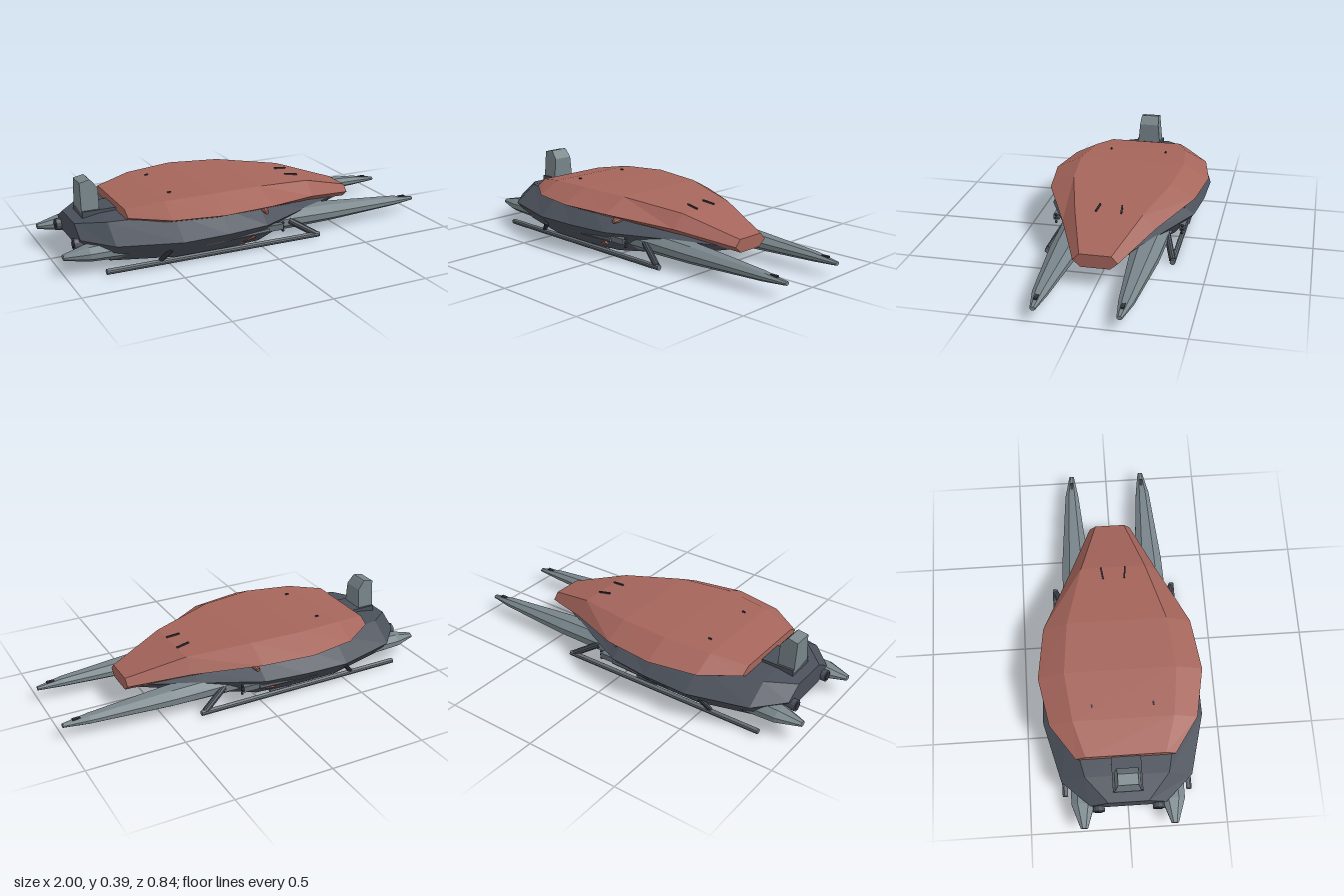
import * as THREE from 'three';

const mat = (name, color) => {
  const m = new THREE.MeshStandardMaterial({ color, flatShading: true });
  m.name = name;
  return m;
};

// Skins a row of equal-sized rings along x; each ring runs top -> +z -> bottom -> -z
function loft(rings) {
  const pos = [], n = rings[0].length;
  const tri = (...p) => p.forEach(v => pos.push(...v));
  for (let i = 0; i < rings.length - 1; i++) {
    for (let j = 0; j < n; j++) {
      const k = (j + 1) % n;
      const a = rings[i][j], b = rings[i][k], c = rings[i + 1][k], d = rings[i + 1][j];
      tri(a, b, c);
      tri(a, c, d);
    }
  }
  const first = rings[0], last = rings[rings.length - 1];
  for (let j = 1; j < n - 1; j++) {
    tri(first[0], first[j + 1], first[j]);
    tri(last[0], last[j], last[j + 1]);
  }
  const g = new THREE.BufferGeometry();
  g.setAttribute('position', new THREE.Float32BufferAttribute(pos, 3));
  g.computeVertexNormals();
  return g;
}

// Six-sided section: top, edge and bottom heights with their half-widths
const hexRing = ([x, yt, t, ye, w, yb, b]) => [
  [x, yt, t], [x, ye, w], [x, yb, b], [x, yb, -b], [x, ye, -w], [x, yt, -t],
];

// Eight-sided section around a centre
const octRing = (x, y, z, h, w) =>
  [[1, 0.45], [0.35, 1], [-0.35, 1], [-1, 0.4], [-1, -0.4], [-0.35, -1], [0.35, -1], [1, -0.45]]
    .map(([v, u]) => [x, y + v * h, z + u * w]);

export function createModel() {
  const red = mat('faded red', 0xa5655b);
  const hullGrey = mat('slate hull', 0x4a505a);
  const lightGrey = mat('pale grey', 0x78858a);
  const steel = mat('steel grey', 0x666f76);
  const dark = mat('dark metal', 0x33373e);

  const model = new THREE.Group();
  model.name = 'hoverCraft';
  const add = (name, geo, material, x = 0, y = 0, z = 0) => {
    const m = new THREE.Mesh(geo, material);
    m.name = name;
    m.position.set(x, y, z);
    model.add(m);
    return m;
  };
  const rod = (name, from, to, r, material, r2 = r, sides = 10) => {
    const a = new THREE.Vector3(...from), b = new THREE.Vector3(...to), d = b.clone().sub(a);
    const m = add(name, new THREE.CylinderGeometry(r2, r, d.length(), sides), material);
    m.position.copy(a).add(b).multiplyScalar(0.5);
    m.quaternion.setFromUnitVectors(new THREE.Vector3(0, 1, 0), d.normalize());
    return m;
  };

  // Lower hull
  add('hull', loft([
    [-0.90, 0.205, 0.10, 0.15, 0.19, 0.10, 0.11],
    [-0.77, 0.228, 0.21, 0.145, 0.33, 0.04, 0.23],
    [-0.46, 0.24, 0.28, 0.14, 0.41, 0.028, 0.30],
    [-0.22, 0.24, 0.29, 0.14, 0.405, 0.026, 0.30],
    [0.00, 0.22, 0.27, 0.14, 0.38, 0.026, 0.28],
    [0.30, 0.17, 0.17, 0.135, 0.23, 0.035, 0.11],
    [0.57, 0.135, 0.08, 0.125, 0.09, 0.11, 0.08],
  ].map(hexRing)), hullGrey);

  // Upper shell
  add('upperShell', loft([
    [-0.68, 0.274, 0.20, 0.245, 0.25, 0.215, 0.20],
    [-0.50, 0.304, 0.255, 0.245, 0.375, 0.20, 0.27],
    [-0.25, 0.315, 0.285, 0.246, 0.422, 0.19, 0.29],
    [0.02, 0.305, 0.258, 0.238, 0.385, 0.185, 0.27],
    [0.34, 0.263, 0.17, 0.195, 0.235, 0.15, 0.165],
    [0.63, 0.172, 0.078, 0.138, 0.11, 0.105, 0.072],
  ].map(hexRing)), red);

  // Tail fin on its pad
  add('finPad', new THREE.BoxGeometry(0.17, 0.035, 0.15), hullGrey, -0.765, 0.228, 0);
  const finRing = (y, x0, x1, w) => [[x0, y, -w], [x0, y, w], [x1, y, w], [x1, y, -w]];
  const fin = loft([
    finRing(0.23, -0.85, -0.76, 0.065),
    finRing(0.35, -0.85, -0.76, 0.054),
    finRing(0.385, -0.85, -0.787, 0.051),
    finRing(0.395, -0.80, -0.797, 0.049),
  ]);
  add('tailFin', fin, lightGrey);

  for (const s of [1, -1]) {
    // Long pontoon passing through the hull
    add('pontoon', loft([
      [-1.00, 0.095, 0.228, 0.012, 0.018],
      [-0.88, 0.098, 0.228, 0.036, 0.058],
      [-0.70, 0.095, 0.222, 0.045, 0.065],
      [0.20, 0.092, 0.205, 0.050, 0.074],
      [0.45, 0.087, 0.200, 0.044, 0.072],
      [0.87, 0.078, 0.200, 0.022, 0.036],
      [1.00, 0.072, 0.196, 0.009, 0.013],
    ].map(([x, y, z, h, w]) => octRing(x, y, s * z, h, w))), lightGrey);
    add('pontoonTipCleat', new THREE.BoxGeometry(0.04, 0.014, 0.016), dark, 0.93, 0.09, s * 0.198);

    // Landing skid with struts
    rod('skid', [-0.82, 0.024, s * 0.318], [0.33, 0.018, s * 0.322], 0.014, steel);
    rod('frontStrut', [0.31, 0.022, s * 0.319], [0.18, 0.10, s * 0.27], 0.017, hullGrey);
    rod('rearStrut', [-0.55, 0.03, s * 0.316], [-0.50, 0.085, s * 0.34], 0.012, dark);
    rod('redDamper', [-0.15, 0.03, s * 0.27], [-0.04, 0.075, s * 0.32], 0.016, red);
    rod('damperFoot', [-0.20, 0.018, s * 0.28], [-0.08, 0.018, s * 0.28], 0.012, steel);

    // Side barrel and its mount
    rod('sideBarrel', [-0.32, 0.085, s * 0.35], [0.02, 0.10, s * 0.35], 0.006, steel, 0.012, 8);
    add('sideMount', new THREE.BoxGeometry(0.11, 0.03, 0.03), steel, 0.05, 0.105, s * 0.335);
    for (const y of [0.08, 0.10, 0.12]) {
      add('sideStud', new THREE.SphereGeometry(0.008, 8, 6), dark, 0.11, y, s * 0.335);
    }

    // Red lamp below the shell rim
    rod('sideLamp', [0.02, 0.20, s * 0.29], [0.02, 0.19, s * 0.335], 0.022, red, 0.01, 8);

    // Rear nozzle
    rod('rearNozzle', [-0.85, 0.12, s * 0.15], [-0.925, 0.12, s * 0.15], 0.027, hullGrey, 0.03, 12);
    rod('nozzleCore', [-0.92, 0.12, s * 0.15], [-0.928, 0.12, s * 0.15], 0.02, dark, 0.02, 12);

    // Small fittings on the shell
    const slot = add('shellSlot', new THREE.BoxGeometry(0.07, 0.012, 0.008), dark, 0.305, 0.269, s * 0.06);
    slot.rotation.set(0, s * -0.12, -0.14);
    add('shellStud', new THREE.BoxGeometry(0.018, 0.008, 0.008), dark, -0.43, 0.309, s * 0.155);
  }

  // Fin was skinned along x from a stack along y: reorder winding by facing both ways
  fin.computeBoundingBox();
  lightGrey.side = THREE.DoubleSide;
  return model;
}
